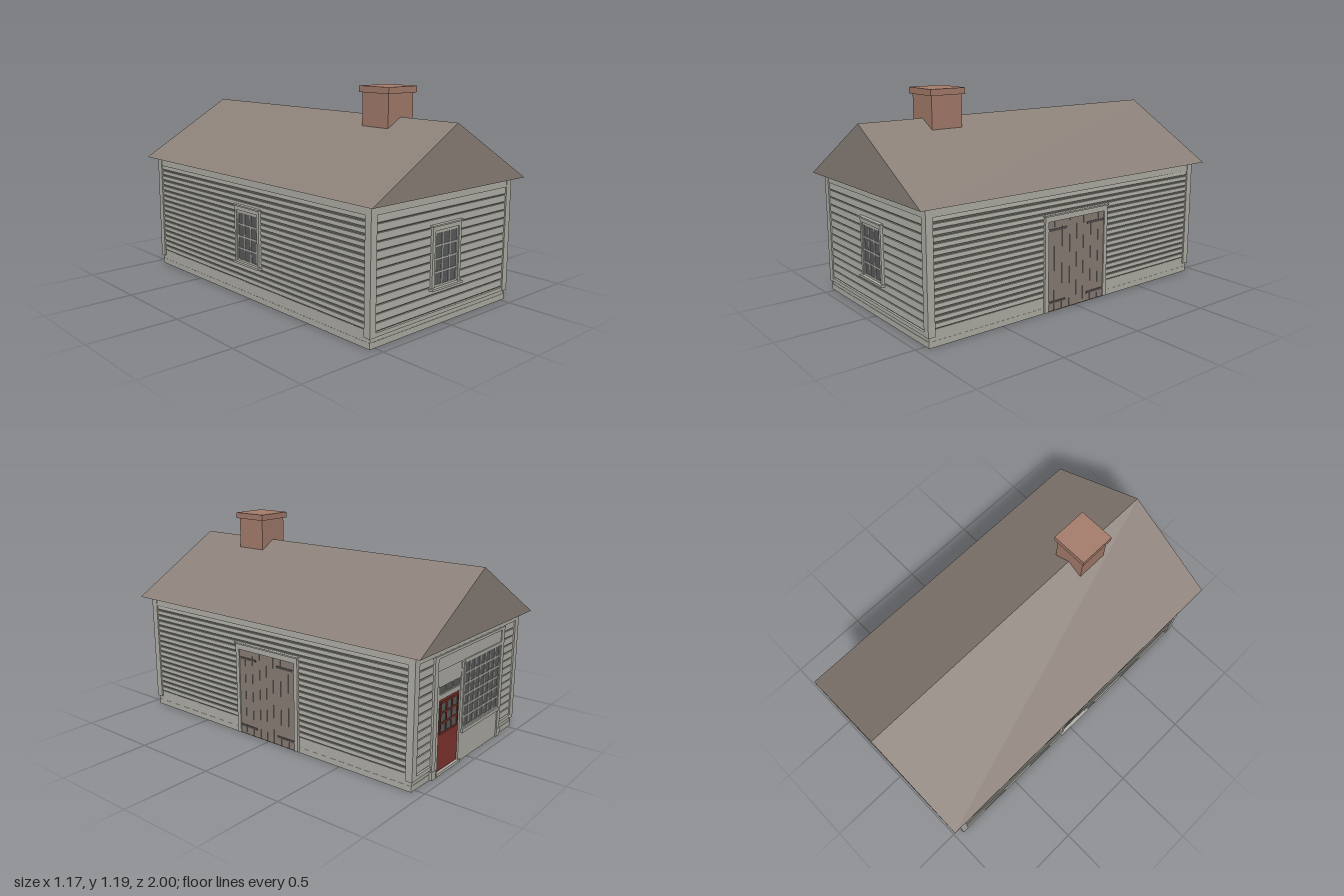
import * as THREE from 'three';

const mat = (name, color, extra = {}) => {
  const m = new THREE.MeshStandardMaterial({ color, ...extra });
  m.name = name;
  return m;
};

export function createModel() {
  const wall = mat('grey paint', 0xb1b0a8);
  const shell = mat('grey paint shell', 0xb1b0a8, { side: THREE.DoubleSide });
  const roofMat = mat('weathered shingle', 0x8c8179);
  const brick = mat('brick', 0xa67d6c);
  const plank = mat('bare plank', 0x8a7e77);
  const glass = mat('window glass', 0x5b5c5d);
  const iron = mat('hinge iron', 0x565350);
  const red = mat('red door paint', 0x80352f);

  const root = new THREE.Group();
  root.name = 'house';

  const add = (parent, name, geo, material) => {
    const m = new THREE.Mesh(geo, material);
    m.name = name;
    parent.add(m);
    return m;
  };
  // Box given by its limits on each axis
  const box = (parent, name, material, x0, x1, y0, y1, z0, z1) => {
    const g = new THREE.BoxGeometry(x1 - x0, y1 - y0, z1 - z0);
    g.translate((x0 + x1) / 2, (y0 + y1) / 2, (z0 + z1) / 2);
    return add(parent, name, g, material);
  };
  const polygon = (pts) => new THREE.Shape(pts.map(([x, y]) => new THREE.Vector2(x, y)));

  // Hollow body, open underneath
  const bodyGeo = new THREE.BoxGeometry(1.05, 0.69, 1.87);
  const index = Array.from(bodyGeo.index.array);
  index.splice(18, 6);
  bodyGeo.setIndex(index);
  bodyGeo.clearGroups();
  bodyGeo.translate(0, 0.345, 0);
  add(root, 'body', bodyGeo, shell);

  // Gabled roof
  const roofGeo = new THREE.ExtrudeGeometry(
    polygon([[-0.585, 0.694], [0.585, 0.694], [0, 1.032]]), { depth: 2, bevelEnabled: false });
  roofGeo.translate(0, 0, -1);
  add(root, 'roof', roofGeo, roofMat);

  // Chimney
  box(root, 'chimneyStack', brick, -0.094, 0.094, 0.94, 1.156, 0.436, 0.624);
  box(root, 'chimneyCap', brick, -0.108, 0.108, 1.156, 1.19, 0.422, 0.638);

  // Corner posts
  for (const sx of [-1, 1]) for (const sz of [-1, 1]) {
    const p = box(root, 'cornerPost', wall, -0.02, 0.02, 0.055, 0.694, -0.02, 0.02);
    p.position.set(sx * 0.52, 0, sz * 0.93);
  }

  // One wall side: local +z points outward, local x runs along the wall
  const side = (name, angle) => {
    const g = new THREE.Group();
    g.name = name;
    g.rotation.y = angle;
    root.add(g);
    return g;
  };

  // Overlapping boards as an extruded sawtooth profile
  const siding = (parent, x0, x1, y0, y1, count, lip, z) => {
    const pitch = (y1 - y0) / count;
    const pts = [[-0.004, y0]];
    for (let i = 0; i < count; i++) {
      const y = y0 + i * pitch;
      pts.push([0.001, y], [0.009, y + lip], [0.007, y + pitch - 0.0005]);
    }
    pts.push([-0.004, y1]);
    const g = new THREE.ExtrudeGeometry(polygon(pts), { depth: x1 - x0, bevelEnabled: false });
    g.rotateY(-Math.PI / 2);
    g.translate(x1, 0, z);
    add(parent, 'siding', g, wall);
  };

  // Glass plate with a grid of bars in front
  const glazing = (parent, x0, x1, y0, y1, z, cols, rows, bar, barMat = wall) => {
    box(parent, 'glass', glass, x0, x1, y0, y1, z - 0.004, z);
    for (let i = 0; i <= cols; i++) {
      const x = x0 + (x1 - x0) * i / cols;
      box(parent, 'glazingBar', barMat, x - bar / 2, x + bar / 2, y0, y1, z - 0.002, z + 0.003);
    }
    for (let j = 0; j <= rows; j++) {
      const y = y0 + (y1 - y0) * j / rows;
      box(parent, 'glazingBar', barMat, x0, x1, y - bar / 2, y + bar / 2, z - 0.002, z + 0.003);
    }
  };

  // Sash window with casing, cap and sill
  const sashWindow = (parent, z) => {
    const w = new THREE.Group();
    w.name = 'sashWindow';
    parent.add(w);
    for (const s of [-1, 1]) {
      const c = box(w, 'casing', wall, -0.009, 0.009, 0.2, 0.525, z - 0.01, z + 0.022);
      c.position.x = s * 0.102;
      const f = box(w, 'sashStile', wall, -0.006, 0.006, 0.207, 0.5, z - 0.01, z + 0.016);
      f.position.x = s * 0.089;
    }
    box(w, 'headCasing', wall, -0.111, 0.111, 0.5, 0.525, z - 0.01, z + 0.022);
    box(w, 'cap', wall, -0.118, 0.118, 0.523, 0.531, z - 0.01, z + 0.03);
    box(w, 'sill', wall, -0.118, 0.118, 0.195, 0.207, z - 0.01, z + 0.034);
    box(w, 'sashRail', wall, -0.095, 0.095, 0.207, 0.216, z - 0.01, z + 0.016);
    box(w, 'sashRail', wall, -0.095, 0.095, 0.488, 0.5, z - 0.01, z + 0.016);
    glazing(w, -0.086, 0.086, 0.214, 0.49, z + 0.013, 3, 4, 0.008);
  };

  const endZ = 0.935, longZ = 0.525;

  // Boards under and over the siding of an end wall
  const endTrim = (g, x0, x1) => {
    box(g, 'lowerPlinth', wall, x0, x1, 0, 0.032, endZ - 0.002, endZ + 0.007);
    box(g, 'upperPlinth', wall, x0, x1, 0.03, 0.057, endZ - 0.002, endZ + 0.005);
    box(g, 'baseBoard', wall, x0, x1, 0.055, 0.076, endZ - 0.002, endZ + 0.013);
  };
  const frieze = (g, half, z) =>
    box(g, 'friezeBoard', wall, -half, half, 0.643, 0.694, z - 0.002, z + 0.013);

  // Front end wall
  const front = side('frontWall', 0);
  endTrim(front, -0.53, 0.53);
  frieze(front, 0.51, endZ);
  siding(front, -0.502, 0.502, 0.076, 0.643, 13, 0.008, endZ);
  sashWindow(front, endZ);

  // Long walls
  const longWall = (name, angle) => {
    const g = side(name, angle);
    box(g, 'plinth', wall, -0.942, 0.942, 0, 0.032, longZ - 0.002, longZ + 0.007);
    box(g, 'baseBoard', wall, -0.942, 0.942, 0.03, 0.09, longZ - 0.002, longZ + 0.006);
    frieze(g, 0.92, longZ);
    siding(g, -0.912, 0.912, 0.085, 0.643, 17, 0.012, longZ);
    return g;
  };
  sashWindow(longWall('rightWall', -Math.PI / 2), longZ);

  // Plank double door on the other long wall
  const left = longWall('leftWall', Math.PI / 2);
  const barn = new THREE.Group();
  barn.name = 'plankDoor';
  left.add(barn);
  box(barn, 'doorBacking', iron, -0.205, 0.205, 0.006, 0.505, longZ, longZ + 0.011);
  const edges = [-0.205, -0.16, -0.105, -0.05, 0, 0.05, 0.105, 0.16, 0.205];
  for (let i = 0; i < 8; i++)
    box(barn, 'plank', plank, edges[i] + 0.001, edges[i + 1] - 0.001, 0.006, 0.505, longZ, longZ + 0.014);
  for (const s of [-1, 1]) {
    const jamb = box(barn, 'jamb', wall, -0.012, 0.012, 0.006, 0.54, longZ, longZ + 0.02);
    jamb.position.x = s * 0.215;
    for (const y of [0.055, 0.457]) {
      const h = box(barn, 'strapHinge', iron, -0.063, 0.063, y - 0.006, y + 0.006, longZ, longZ + 0.018);
      h.position.x = s * 0.14;
    }
  }
  box(barn, 'header', wall, -0.227, 0.227, 0.505, 0.54, longZ, longZ + 0.02);
  box(barn, 'headerCap', wall, -0.232, 0.232, 0.535, 0.543, longZ, longZ + 0.026);

  // Back end wall with shopfront
  const back = side('backWall', Math.PI);
  frieze(back, 0.51, endZ);
  for (const [a, b] of [[-0.53, -0.365], [0.365, 0.53]]) endTrim(back, a, b);
  for (const [a, b] of [[-0.502, -0.365], [0.365, 0.502]])
    siding(back, a, b, 0.076, 0.643, 13, 0.008, endZ);

  const shop = new THREE.Group();
  shop.name = 'shopfront';
  back.add(shop);
  box(shop, 'headPanel', wall, -0.365, 0.365, 0.56, 0.645, endZ, endZ + 0.014);
  box(shop, 'headMoulding', wall, -0.37, 0.37, 0.628, 0.643, endZ, endZ + 0.02);
  box(shop, 'middlePost', wall, -0.09, 0.075, 0, 0.56, endZ, endZ + 0.012);
  box(shop, 'lowerPanel', wall, -0.09, 0.335, 0, 0.18, endZ, endZ + 0.012);
  for (const s of [-1, 1]) {
    const p = box(shop, 'pilaster', wall, -0.0165, 0.0165, 0, 0.643, endZ, endZ + 0.018);
    p.position.x = s * 0.3495;
    const b = box(shop, 'pilasterBase', wall, -0.019, 0.019, 0, 0.045, endZ, endZ + 0.021);
    b.position.x = s * 0.3495;
  }
  // Display window
  glazing(shop, -0.07 + 0.005, 0.32, 0.185, 0.545, endZ + 0.014, 7, 6, 0.009);
  box(shop, 'displaySill', wall, -0.075, 0.332, 0.16, 0.18, endZ, endZ + 0.024);
  box(shop, 'displayHead', wall, -0.075, 0.332, 0.545, 0.562, endZ, endZ + 0.02);
  // Entrance door
  box(shop, 'overDoorPanel', wall, -0.335, -0.085, 0.475, 0.562, endZ, endZ + 0.01);
  box(shop, 'transomRail', wall, -0.335, -0.085, 0.405, 0.432, endZ, endZ + 0.012);
  box(shop, 'doorJamb', wall, -0.335, -0.305, 0, 0.48, endZ, endZ + 0.012);
  box(shop, 'doorJamb', wall, -0.098, -0.085, 0, 0.48, endZ, endZ + 0.014);
  glazing(shop, -0.305, -0.098, 0.432, 0.476, endZ + 0.006, 3, 1, 0.009);
  box(shop, 'redDoor', red, -0.305, -0.098, 0.014, 0.405, endZ, endZ + 0.005);
  glazing(shop, -0.285, -0.118, 0.22, 0.385, endZ + 0.008, 3, 3, 0.01, red);
  box(shop, 'doorStep', wall, -0.32, -0.085, 0, 0.016, endZ, endZ + 0.02);

  return root;
}
